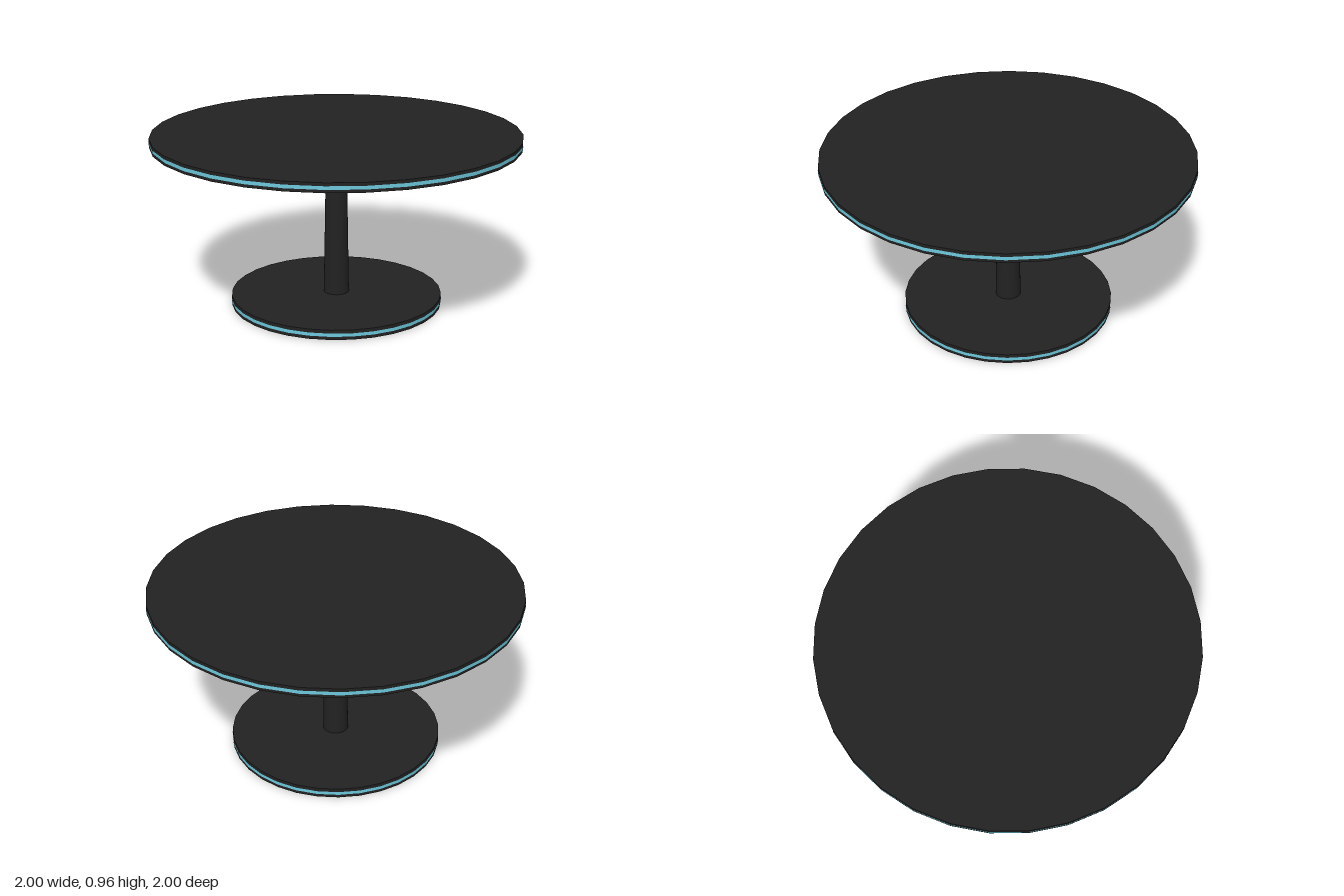
import * as THREE from 'three';

const SIDES = 32;
const black = new THREE.MeshStandardMaterial({ color: 0x222222 });
const blue = new THREE.MeshStandardMaterial({ color: 0x6cc8dc });

function cylinder(name, rTop, rBottom, y0, y1, material, open = false) {
  const geometry = new THREE.CylinderGeometry(rTop, rBottom, y1 - y0, SIDES, 1, open);
  const mesh = new THREE.Mesh(geometry, material);
  mesh.name = name;
  mesh.position.y = (y0 + y1) / 2;
  return mesh;
}

// Round slab with a thin coloured band around the middle of its rim
function bandedDisc(name, radius, y0, y1) {
  const disc = new THREE.Group();
  disc.name = name;
  const mid = (y0 + y1) / 2;
  disc.add(cylinder(name + 'Slab', radius - 0.002, radius - 0.002, y0, y1, black));
  disc.add(cylinder(name + 'Band', radius, radius, mid - 0.009, mid + 0.009, blue, true));
  return disc;
}

export function createModel() {
  const table = new THREE.Group();
  table.name = 'roundTable';
  table.add(bandedDisc('base', 0.583, 0, 0.054));
  // Tapered central column
  table.add(cylinder('column', 0.055, 0.07, 0.05, 0.915, black));
  table.add(bandedDisc('tableTop', 1, 0.91, 0.96));
  return table;
}
